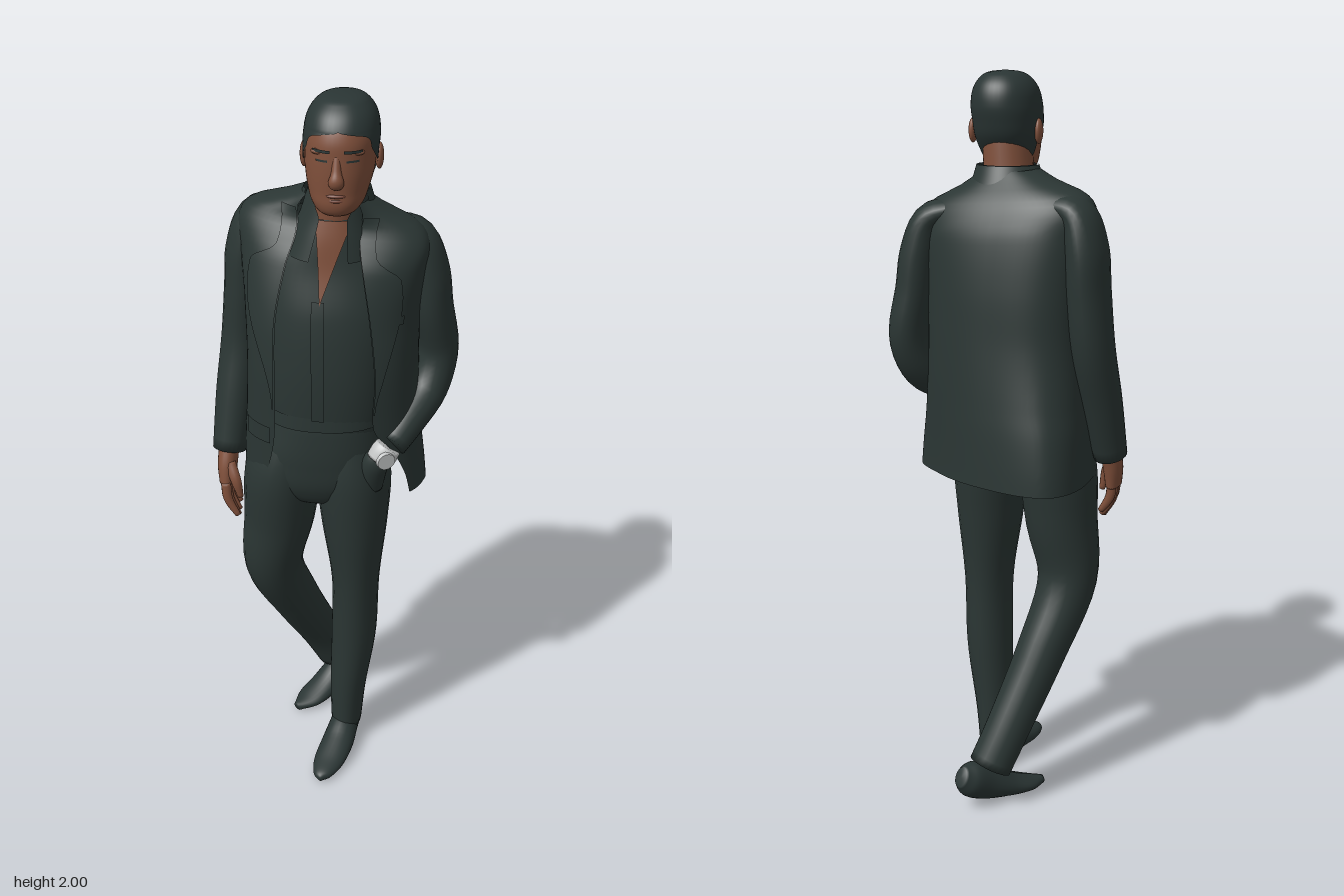
import * as THREE from 'three';
import { mergeVertices } from 'three/addons/utils/BufferGeometryUtils.js';

const mat = (name, color) => {
  const m = new THREE.MeshStandardMaterial({ color, side: THREE.DoubleSide });
  m.name = name;
  return m;
};
const V = (x, y, z) => new THREE.Vector3(x, y, z);
const { lerp, clamp, smoothstep } = THREE.MathUtils;
const TAU = Math.PI * 2;
const N = 2.4; // squareness of torso cross-sections
const pw = (s, n) => Math.sign(s) * Math.abs(s) ** (2 / n);

// Smooth surface from a rule f(u along, v around)
function grid(rows, cols, f) {
  const pos = [], idx = [], w = cols + 1;
  for (let i = 0; i <= rows; i++)
    for (let j = 0; j <= cols; j++) pos.push(...f(i / rows, j / cols).toArray());
  for (let i = 0; i < rows; i++)
    for (let j = 0; j < cols; j++) {
      const a = i * w + j;
      idx.push(a, a + 1, a + w + 1, a, a + w + 1, a + w);
    }
  let g = new THREE.BufferGeometry();
  g.setAttribute('position', new THREE.Float32BufferAttribute(pos, 3));
  g.setIndex(idx);
  g = mergeVertices(g, 1e-5);
  g.computeVertexNormals();
  return g;
}

// Cubic interpolation of [y, cx, cz, rx, rz, ...] rows at height y
function sample(keys, y) {
  let k = 0;
  while (k < keys.length - 2 && y > keys[k + 1][0]) k++;
  const a = keys[k], b = keys[k + 1], p = keys[k - 1] || a, q = keys[k + 2] || b;
  const h = b[0] - a[0], t = clamp((y - a[0]) / h, 0, 1), t2 = t * t, t3 = t2 * t;
  return a.map((_, c) => {
    const m0 = (b[c] - p[c]) / (b[0] - p[0]) * h, m1 = (q[c] - a[c]) / (q[0] - a[0]) * h;
    return (2 * t3 - 3 * t2 + 1) * a[c] + (t3 - 2 * t2 + t) * m0 + (3 * t2 - 2 * t3) * b[c] + (t3 - t2) * m1;
  });
}
// Angle from the front at which a ring reaches x
const angleAt = (x, s, n) => {
  const d = x - s[1];
  return Math.sign(d) * Math.asin(Math.min(1, (Math.abs(d) / s[3]) ** (n / 2)));
};

// Stack of horizontal rings, or a patch of it between two angles
function shell(keys, { range = () => [0, TAU], off = 0, n = 2, y0 = keys[0][0], y1 = keys.at(-1)[0], rows = 40, cols = 48, warp } = {}) {
  return grid(rows, cols, (u, v) => {
    const y = lerp(y0, y1, u), s = sample(keys, y), [a0, a1] = range(y, s), a = lerp(a0, a1, v);
    const p = V(s[1] + (Math.max(s[3], 0) + off) * pw(Math.sin(a), n), y, s[2] + (Math.max(s[4], 0) + off) * pw(Math.cos(a), n));
    return warp ? warp(p) : p;
  });
}

// Tapered limb through [x, y, z, ru, rv], closed at both ends
function limb(keys, { ref = V(0, 0, 1), rows = 32, cols = 24, floor = false } = {}) {
  const path = new THREE.CatmullRomCurve3(keys.map(k => V(k[0], k[1], k[2])), false, 'catmullrom');
  const size = new THREE.CatmullRomCurve3(keys.map(k => V(k[3], k[4], 0)), false, 'catmullrom');
  return grid(rows + 2, cols, (s, w) => {
    const i = Math.round(s * (rows + 2)), t = clamp((i - 1) / rows, 0, 1), a = w * TAU;
    const p = path.getPoint(t), d = path.getTangent(t), r = size.getPoint(t);
    const k = i === 0 || i === rows + 2 ? 0 : 1;
    const U = ref.clone().cross(d).normalize(), W = d.clone().cross(U);
    p.addScaledVector(U, k * r.x * Math.cos(a)).addScaledVector(W, k * r.y * Math.sin(a));
    if (floor) p.y = Math.max(0, p.y);
    return p;
  });
}

// Torso stance: right shoulder is higher and further back, the hem swings back on the right
function stance(p) {
  const up = smoothstep(p.y, 1.4, 1.65);
  const back = clamp((0.05 - p.z) / 0.2, 0, 1);
  const swing = lerp(0.4, 0.17, smoothstep(p.y, 0.93, 1.35));
  p.z += p.x * Math.max(swing * back, 0.14 * up);
  p.y -= p.x * 0.08 * up;
  return p;
}

export function createModel() {
  const root = new THREE.Group();
  root.name = 'standingMan';
  const suit = mat('suitCharcoal', 0x2b3634), skin = mat('skinBrown', 0x80503b);
  const dark = mat('darkHair', 0x2a3534), lip = mat('lipBrown', 0x744537), metal = mat('watchSilver', 0xc4c6c6);
  const add = (name, geo, m, parent = root) => {
    const mesh = new THREE.Mesh(geo, m);
    mesh.name = name;
    parent.add(mesh);
    return mesh;
  };

  // Jacket: y, cx, cz, rx, rz, right edge x, left edge x
  const jacket = [
    [0.93, 0.005, 0, 0.25, 0.188, -0.2, 0.215], [1.0, 0.003, 0.003, 0.245, 0.188, -0.165, 0.2],
    [1.08, 0, 0.008, 0.238, 0.188, -0.145, 0.165], [1.15, 0, 0.015, 0.232, 0.188, -0.138, 0.12],
    [1.3, 0, 0.027, 0.225, 0.185, -0.135, 0.12], [1.45, 0, 0.025, 0.228, 0.172, -0.13, 0.105],
    [1.58, 0, 0.018, 0.24, 0.145, -0.105, 0.085], [1.64, 0, 0.012, 0.244, 0.118, -0.085, 0.075],
    [1.68, 0.002, 0.012, 0.215, 0.096, -0.08, 0.075], [1.715, 0.005, 0.03, 0.135, 0.085, -0.08, 0.08],
    [1.745, 0.01, 0.05, 0.082, 0.08, -0.06, 0.07]];
  const edges = s => [angleAt(s[6], s, N), angleAt(s[5], s, N)];
  add('jacketBody', shell(jacket, { n: N, cols: 64, rows: 56, warp: stance, range: (y, s) => { const [l, r] = edges(s); return [l, r + TAU]; } }), suit);
  const lapelWidth = y => 0.085 * smoothstep(y, 1.2, 1.56) * (1 - 0.6 * smoothstep(y, 1.57, 1.62)) + 0.004;
  for (const [side, c, sg] of [['right', 5, -1], ['left', 6, 1]])
    add(side + 'Lapel', shell(jacket, {
      n: N, off: 0.006, y0: 1.2, y1: 1.71, cols: 8, warp: stance,
      range: (y, s) => { const r = [angleAt(s[c], s, N), angleAt(s[c] + sg * lapelWidth(y), s, N)]; return sg > 0 ? r : r.reverse(); }
    }), suit);
  const patch = (name, y0, y1, x0, x1) => add(name, shell(jacket, {
    n: N, off: 0.005, y0, y1, rows: 6, cols: 8, warp: stance, range: (y, s) => [angleAt(x0, s, N), angleAt(x1, s, N)]
  }), suit);
  patch('rightPocketFlap', 1.09, 1.14, -0.215, -0.15);
  patch('breastPocket', 1.44, 1.465, 0.12, 0.185);

  // Shirt, placket and collars
  const shirt = [[1.05, -0.015, 0.035, 0.155, 0.13], [1.16, -0.01, 0.035, 0.17, 0.148], [1.3, -0.005, 0.03, 0.18, 0.162],
    [1.45, 0, 0.025, 0.185, 0.158], [1.57, 0, 0.025, 0.165, 0.13], [1.65, 0.004, 0.045, 0.1, 0.1], [1.7, 0.008, 0.055, 0.075, 0.08]];
  add('shirt', shell(shirt, { n: 2.2 }), suit);
  add('shirtPlacket', shell(shirt, { n: 2.2, off: 0.005, y0: 1.17, y1: 1.5, cols: 4, range: (y, s) => [angleAt(-0.04, s, 2.2), angleAt(-0.008, s, 2.2)] }), suit);
  add('openChest', shell(shirt, {
    n: 2.2, off: 0.006, y0: 1.49, y1: 1.7, rows: 16, cols: 8,
    range: (y, s) => { const t = (y - 1.49) / 0.21, w = 0.042 * t, c = lerp(-0.02, 0.012, t); return [angleAt(c - w, s, 2.2), angleAt(c + w, s, 2.2)]; }
  }), skin);
  const collar = [[1.6, 0, 0.045, 0.125, 0.128], [1.65, 0.005, 0.055, 0.105, 0.106], [1.7, 0.01, 0.06, 0.088, 0.088], [1.76, 0.016, 0.06, 0.075, 0.077]];
  add('shirtCollar', shell(collar, { rows: 14, range: y => { const a = 0.4 + 0.4 * smoothstep(y, 1.7, 1.755); return [a, TAU - a]; } }), suit);
  add('jacketCollar', shell([[1.68, 0.008, 0.045, 0.125, 0.11], [1.72, 0.01, 0.045, 0.098, 0.093], [1.76, 0.013, 0.05, 0.083, 0.08]],
    { rows: 10, range: () => [1.1, TAU - 1.1] }), suit);

  // Trousers
  add('hips', shell([[0.86, -0.035, 0.035, 0, 0], [0.875, -0.035, 0.035, 0.07, 0.08], [0.93, -0.04, 0.036, 0.165, 0.125], [1.02, -0.032, 0.036, 0.18, 0.141],
    [1.12, -0.018, 0.036, 0.166, 0.144], [1.17, -0.015, 0.036, 0.16, 0.14]], { n: 2.3 }), suit);
  add('waistband', shell([[1.135, -0.016, 0.036, 0.169, 0.148], [1.175, -0.014, 0.036, 0.168, 0.148]], { n: 2.3, rows: 3 }), suit);
  add('rightTrouserLeg', limb([[-0.1, 1.1, 0.036, 0.075, 0.115], [-0.135, 0.96, 0.034, 0.104, 0.135], [-0.15, 0.8, 0.03, 0.1, 0.117], [-0.172, 0.62, 0.02, 0.083, 0.092],
    [-0.122, 0.43, -0.065, 0.07, 0.078], [-0.058, 0.24, -0.16, 0.062, 0.062], [-0.015, 0.125, -0.207, 0.06, 0.06]]), suit);
  add('leftTrouserLeg', limb([[0.045, 1.1, 0.04, 0.08, 0.12], [0.057, 0.96, 0.044, 0.103, 0.133], [0.062, 0.8, 0.048, 0.092, 0.117], [0.066, 0.6, 0.045, 0.068, 0.092],
    [0.062, 0.4, 0.037, 0.065, 0.081], [0.046, 0.2, 0.033, 0.053, 0.073], [0.041, 0.06, 0.03, 0.045, 0.068]]), suit);

  // Shoes, the right one resting on its toe
  const up = V(0, 1, 0);
  add('leftShoe', limb([[0.046, 0.045, -0.04, 0.02, 0.03], [0.046, 0.046, -0.015, 0.038, 0.048], [0.036, 0.048, 0.06, 0.042, 0.05],
    [0.022, 0.034, 0.13, 0.047, 0.036], [0.002, 0.022, 0.2, 0.044, 0.023], [-0.012, 0.016, 0.25, 0.027, 0.016], [-0.015, 0.014, 0.27, 0.006, 0.008]], { ref: up, floor: true }), dark);
  add('rightShoe', limb([[0.05, 0.11, -0.268, 0.02, 0.028], [0.034, 0.092, -0.237, 0.04, 0.05], [0, 0.064, -0.19, 0.042, 0.05],
    [-0.042, 0.036, -0.135, 0.046, 0.034], [-0.085, 0.02, -0.085, 0.042, 0.02], [-0.12, 0.013, -0.045, 0.014, 0.012]], { ref: up, floor: true }), dark);

  // Sleeves, capped by shoulders that run into the jacket
  add('rightSleeve', limb([[-0.12, 1.672, -0.03, 0.025, 0.055], [-0.202, 1.648, -0.042, 0.044, 0.076], [-0.23, 1.56, -0.05, 0.056, 0.089], [-0.237, 1.45, -0.05, 0.058, 0.087],
    [-0.25, 1.3, -0.045, 0.058, 0.076], [-0.268, 1.15, -0.01, 0.055, 0.065], [-0.286, 0.99, 0.03, 0.046, 0.052]]), suit);
  add('leftSleeve', limb([[0.12, 1.65, 0.005, 0.025, 0.055], [0.208, 1.618, 0.002, 0.044, 0.074], [0.24, 1.53, 0, 0.055, 0.083], [0.254, 1.43, -0.005, 0.055, 0.082],
    [0.274, 1.3, -0.02, 0.054, 0.068], [0.25, 1.2, 0.015, 0.056, 0.06], [0.203, 1.14, 0.092, 0.05, 0.05], [0.163, 1.09, 0.145, 0.042, 0.042]]), suit);

  // Right hand
  const hand = new THREE.Group();
  hand.name = 'rightHand';
  root.add(hand);
  add('palm', limb([[-0.286, 1.0, 0.035, 0.028, 0.035], [-0.29, 0.95, 0.05, 0.027, 0.039], [-0.29, 0.9, 0.06, 0.022, 0.038]]), skin, hand);
  for (let i = 0; i < 4; i++) {
    const z = 0.033 + i * 0.018, l = [0.8, 0.94, 1, 0.92][i];
    add('finger', limb([[-0.291, 0.91, z, 0.014, 0.011], [-0.285, 0.91 - 0.055 * l, z + 0.004, 0.013, 0.0105], [-0.259, 0.91 - 0.108 * l, z + 0.006, 0.008, 0.007]], { rows: 12, cols: 10 }), skin, hand);
  }
  add('thumb', limb([[-0.28, 0.965, 0.07, 0.016, 0.014], [-0.262, 0.92, 0.09, 0.015, 0.013], [-0.25, 0.87, 0.092, 0.008, 0.007]], { rows: 12, cols: 10 }), skin, hand);

  // Left hand hidden in the pocket, with watch at the wrist
  add('leftPocketBulge', limb([[0.145, 1.066, 0.15, 0.03, 0.026], [0.122, 1.03, 0.148, 0.036, 0.03], [0.108, 0.95, 0.12, 0.035, 0.03]]), suit);
  add('watchBand', limb([[0.157, 1.085, 0.15, 0.035, 0.033], [0.147, 1.07, 0.155, 0.038, 0.035], [0.134, 1.048, 0.16, 0.036, 0.033]], { rows: 8 }), metal);
  const dial = add('watchFace', new THREE.CylinderGeometry(0.024, 0.026, 0.01, 24), metal);
  dial.position.set(0.153, 1.062, 0.187);
  dial.quaternion.setFromUnitVectors(up, V(0.45, -0.1, 0.9).normalize());

  // Head and neck
  add('neck', limb([[0, 1.6, 0.045, 0.075, 0.075], [0.012, 1.7, 0.062, 0.067, 0.073], [0.022, 1.82, 0.075, 0.066, 0.075]]), skin);
  const head = [[1.722, 0.02, 0.15, 0, 0], [1.728, 0.02, 0.148, 0.034, 0.034], [1.75, 0.021, 0.13, 0.06, 0.068], [1.785, 0.022, 0.115, 0.074, 0.085],
    [1.83, 0.024, 0.1, 0.084, 0.103], [1.87, 0.025, 0.093, 0.087, 0.11], [1.91, 0.027, 0.088, 0.088, 0.112], [1.95, 0.028, 0.083, 0.08, 0.1],
    [1.978, 0.029, 0.08, 0.06, 0.075], [1.992, 0.03, 0.08, 0.034, 0.044], [1.996, 0.03, 0.08, 0, 0]];
  add('head', shell(head, { n: 2.15 }), skin);
  const cap = head.map(([y, x, z, a, b]) => [y + 0.004 * smoothstep(y, 1.9, 1.99), x, z, a && a + 0.004, b && b + 0.004]);
  const hairline = [[1.755, 2.3], [1.79, 1.95], [1.83, 1.72], [1.86, 1.3], [1.89, 0.98], [1.92, 0.75], [1.934, 0]];
  add('hair', shell(cap, { n: 2.15, y0: 1.755, rows: 80, range: y => { const a = y > 1.934 ? 0 : sample(hairline, y)[1]; return [a, TAU - a]; } }), dark);
  const blob = (name, x, y, z, rx, ry, rz, m) => add(name, new THREE.SphereGeometry(1, 20, 14).scale(rx, ry, rz).translate(x, y, z), m);
  add('nose', limb([[0.024, 1.88, 0.192, 0.01, 0.01], [0.024, 1.845, 0.202, 0.012, 0.012], [0.024, 1.82, 0.207, 0.019, 0.016], [0.024, 1.806, 0.198, 0.014, 0.01]], { rows: 16 }), skin);
  blob('upperLip', 0.022, 1.783, 0.192, 0.026, 0.006, 0.012, lip);
  blob('lowerLip', 0.022, 1.771, 0.19, 0.023, 0.007, 0.012, lip);
  blob('chin', 0.021, 1.745, 0.172, 0.03, 0.018, 0.022, skin);
  for (const s of [-1, 1]) {
    const x = 0.025 + s * 0.036;
    blob('browRidge', x, 1.887, 0.179, 0.028, 0.009, 0.014, skin);
    add('eyebrow', shell(head, { n: 2.15, off: 0.005, y0: 1.888, y1: 1.895, rows: 2, cols: 8, range: (y, r) => [angleAt(x - 0.02, r, 2.15), angleAt(x + 0.02, r, 2.15)] }), dark);
    add('eye', shell(head, { n: 2.15, off: 0.002, y0: 1.866, y1: 1.871, rows: 2, cols: 8, range: (y, r) => [angleAt(x - 0.014, r, 2.15), angleAt(x + 0.014, r, 2.15)] }), dark);
    blob('ear', 0.025 + s * 0.091, 1.845, 0.07, 0.011, 0.033, 0.02, skin);
  }
  return root;
}
